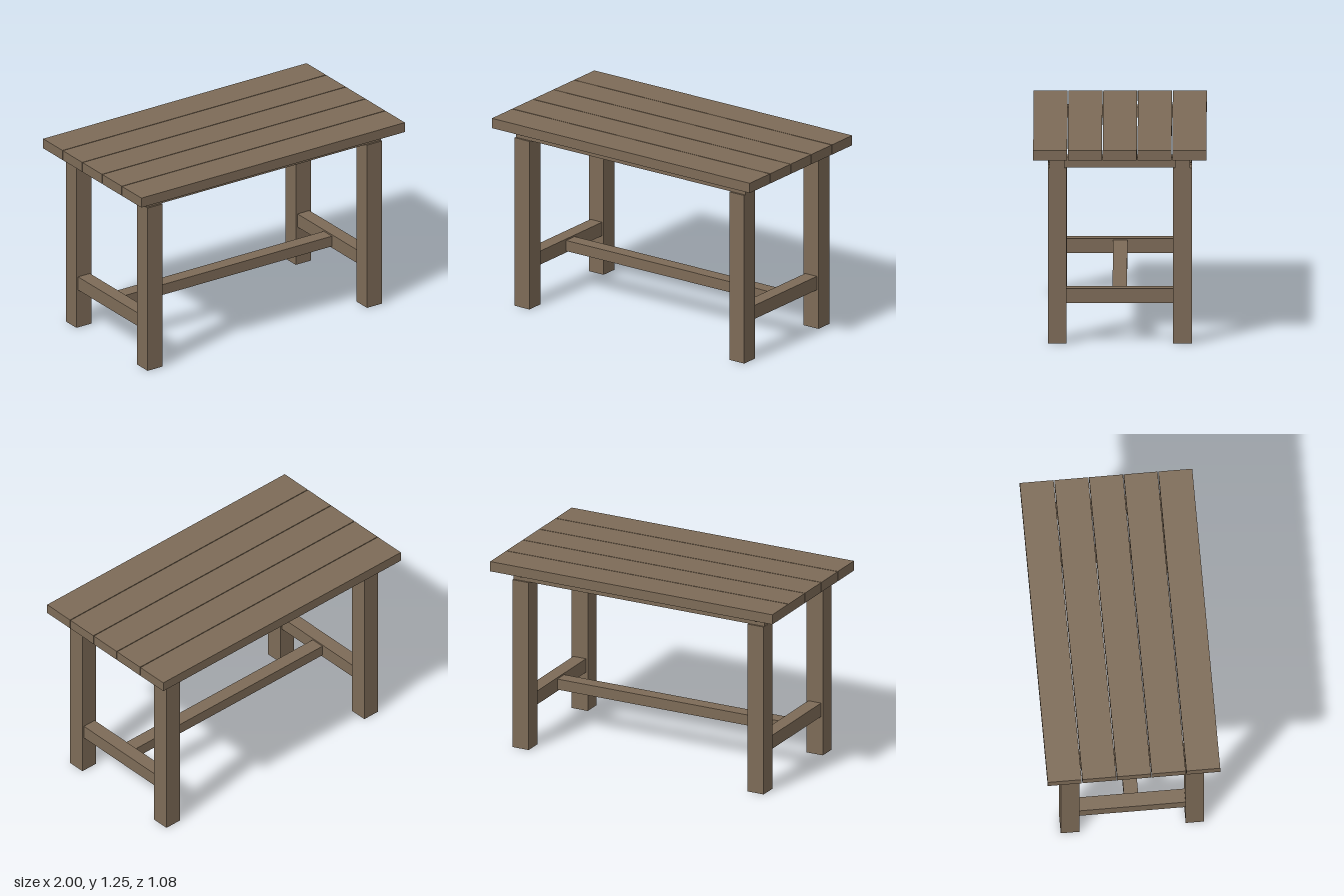
import * as THREE from 'three';

export function createModel() {
  const table = new THREE.Group();
  table.name = 'table';
  const wood = new THREE.MeshStandardMaterial({ color: 0x7d6b57 });
  wood.name = 'brown wood';

  // Box given by its low and high limits on each axis
  function beam(name, [x0, x1], [y0, y1], [z0, z1]) {
    const mesh = new THREE.Mesh(new THREE.BoxGeometry(x1 - x0, y1 - y0, z1 - z0), wood);
    mesh.position.set((x0 + x1) / 2, (y0 + y1) / 2, (z0 + z1) / 2);
    mesh.name = name;
    table.add(mesh);
  }
  const span = (centre, width) => [centre - width / 2, centre + width / 2];

  const legTop = 1.118, topBottom = 1.185, topHeight = 1.25;
  const legX = 0.833, legZ = 0.392;

  // Five planks with narrow gaps
  for (let i = -2; i <= 2; i++) {
    beam('topPlank', [-1, 1], [topBottom, topHeight], span(i * 0.2175, 0.2125));
  }

  for (const sx of [-1, 1]) {
    // Short rails between the long rails, and stretchers between the legs
    beam('sideRail', span(sx * legX, 0.09), [legTop, topBottom], [-0.346, 0.346]);
    beam('sideStretcher', span(sx * legX, 0.09), [0.257, 0.347], [-0.334, 0.334]);

    for (const sz of [-1, 1]) {
      beam('leg', span(sx * legX, 0.115), [0, legTop], span(sz * legZ, 0.116));

      // Bolt through the end of the long rail
      const bolt = new THREE.Mesh(new THREE.CylinderGeometry(0.011, 0.011, 0.012, 16), wood);
      bolt.rotation.x = Math.PI / 2;
      bolt.position.set(sx * legX, 1.151, sz * 0.441);
      bolt.name = 'bolt';
      table.add(bolt);
    }
  }

  // Long rails resting on the legs
  for (const sz of [-1, 1]) {
    beam('longRail', [-0.89, 0.89], [legTop, topBottom], span(sz * legZ, 0.092));
  }

  // Centre stretcher joining the two side stretchers
  beam('centreStretcher', [-0.788, 0.788], [0.267, 0.337], [-0.045, 0.045]);

  return table;
}
